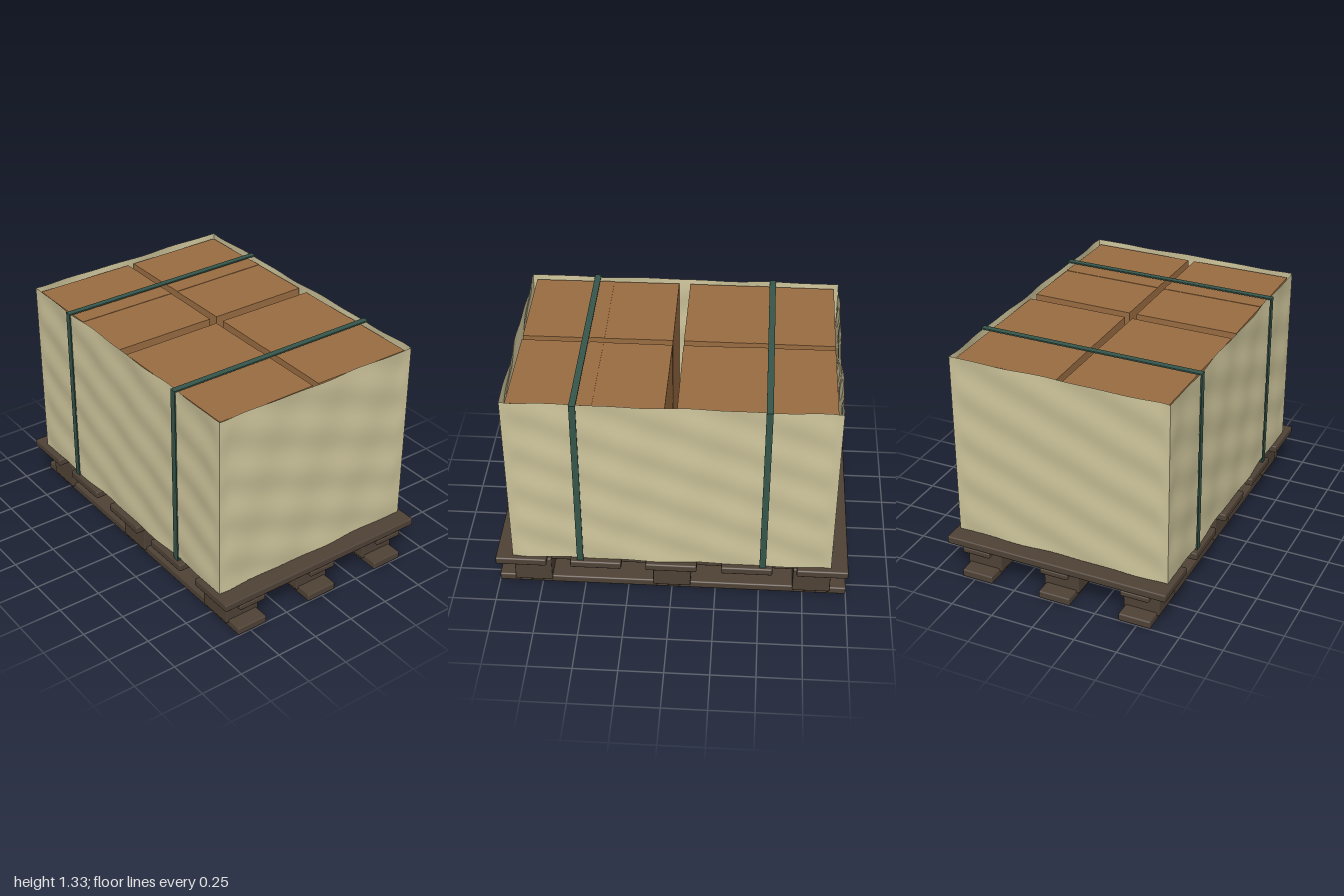
import * as THREE from 'three';
import { RoundedBoxGeometry } from 'three/addons/geometries/RoundedBoxGeometry.js';

const mat = (name, color, side = THREE.FrontSide) => {
  const m = new THREE.MeshStandardMaterial({ color, side });
  m.name = name;
  return m;
};

export function createModel() {
  const wood = mat('dark wood', 0x4f4236);
  const cardboard = mat('cardboard', 0x996c41);
  const film = mat('beige wrap', 0xcbc299, THREE.DoubleSide);
  const band = mat('green strap', 0x35554a);

  const model = new THREE.Group();
  model.name = 'loadedPallet';

  const group = (name) => {
    const g = new THREE.Group();
    g.name = name;
    model.add(g);
    return g;
  };
  const add = (parent, name, geometry, material, x, y, z) => {
    const m = new THREE.Mesh(geometry, material);
    m.name = name;
    m.position.set(x, y, z);
    parent.add(m);
    return m;
  };
  const plank = (w, h, d) => new RoundedBoxGeometry(w, h, d, 1, 0.008);

  // Pallet: runners, blocks, stringers and deck boards
  const pallet = group('pallet');
  for (const z of [-0.485, 0, 0.485]) {
    add(pallet, 'bottomRunner', plank(2, 0.046, 0.19), wood, 0, 0.023, z);
    add(pallet, 'stringer', plank(2, 0.034, 0.17), wood, 0, 0.183, z);
    for (const x of [-0.8, 0, 0.8]) {
      add(pallet, 'block', plank(0.215, 0.163, 0.215), wood, x, 0.106, z);
    }
  }
  for (const x of [-0.855, -0.428, 0, 0.428, 0.855]) {
    add(pallet, 'deckBoard', plank(0.29, 0.045, 1.332), wood, x, 0.2225, 0);
  }

  // Four tall cartons, each very slightly askew, with a tape strip on the lid
  const cartons = group('cartons');
  for (const sx of [-1, 1]) {
    for (const sz of [-1, 1]) {
      const carton = new THREE.Group();
      carton.name = 'carton';
      carton.position.set(sx * 0.4525, 0, sz * 0.319);
      carton.rotation.y = 0.005 * sx * sz;
      cartons.add(carton);
      add(carton, 'cartonBody', new THREE.BoxGeometry(0.842, 1.063, 0.597), cardboard, 0, 0.7785, 0);
      add(carton, 'lidTape', new THREE.BoxGeometry(0.076, 0.003, 0.597), cardboard, 0, 1.311, 0);
    }
  }

  // Wrap: four open walls, rippled along diagonal folds, joined at the corners
  const wrap = group('wrap');
  const bottom = 0.25, top = 1.33, height = top - bottom;
  const wall = (name, width, distance, angle) => {
    const g = new THREE.PlaneGeometry(width, height, 72, 48);
    const p = g.attributes.position;
    for (let i = 0; i < p.count; i++) {
      const x = p.getX(i), y = p.getY(i);
      const taper = Math.min(1, (width / 2 - Math.abs(x)) / 0.06);
      const ripple = 0.0045 * Math.sin(9 * x + 24 * y + angle)
        + 0.003 * Math.sin(17 * x - 5 * y + 2 * angle);
      p.setZ(i, ripple * taper);
    }
    g.computeVertexNormals();
    const m = add(wrap, name, g, film, Math.sin(angle) * distance, (top + bottom) / 2, Math.cos(angle) * distance);
    m.rotation.y = angle;
  };
  const halfX = 0.902, halfZ = 0.637;
  wall('frontWrap', 2 * halfX, halfZ, 0);
  wall('leftWrap', 2 * halfZ, halfX, Math.PI / 2);
  wall('backWrap', 2 * halfX, halfZ, Math.PI);
  wall('rightWrap', 2 * halfZ, halfX, -Math.PI / 2);

  // Straps: two flat bands looped round the load
  const straps = group('straps');
  const loop = (hw, y0, y1, Type) => {
    const s = new Type();
    s.moveTo(-hw, y0);
    s.lineTo(hw, y0);
    s.lineTo(hw, y1);
    s.lineTo(-hw, y1);
    s.closePath();
    return s;
  };
  const outline = loop(0.653, 0.246, 1.333, THREE.Shape);
  outline.holes.push(loop(0.646, 0.252, 1.325, THREE.Path));
  const strapGeometry = new THREE.ExtrudeGeometry(outline, { depth: 0.036, bevelEnabled: false });
  strapGeometry.translate(0, 0, -0.018);
  strapGeometry.rotateY(Math.PI / 2);
  for (const x of [-0.517, 0.515]) add(straps, 'strap', strapGeometry, band, x, 0, 0);

  return model;
}
